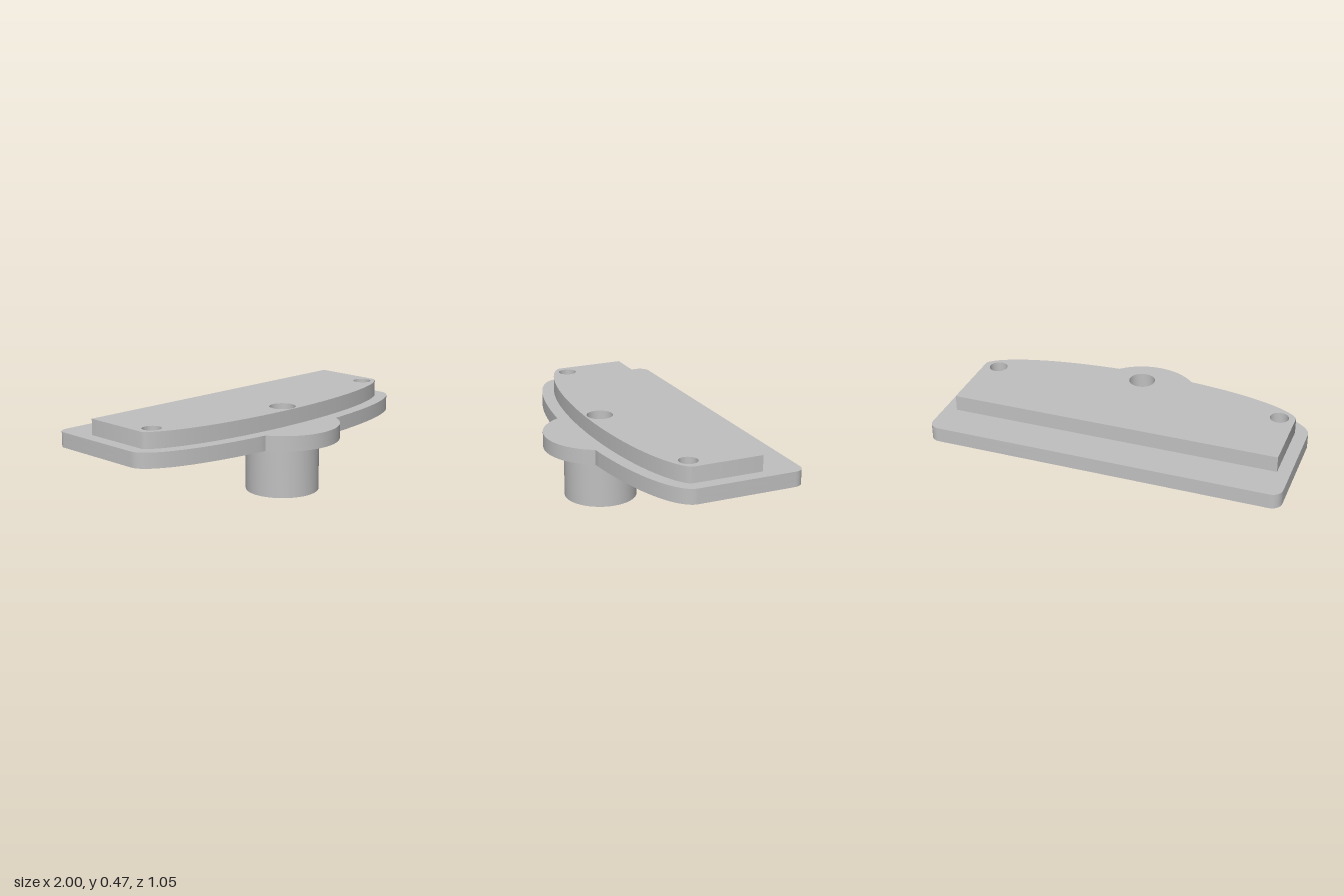
import * as THREE from 'three';
import { toCreasedNormals } from 'three/addons/utils/BufferGeometryUtils.js';

const ARC_Z = 0.09, ARC_DEPTH = 0.27;   // elliptical front edge of the plate
const BOSS_Z = 0.203, BOSS_R = 0.205, BORE_R = 0.074;
const SCREW_X = 0.84, SCREW_Z = 0.07, SCREW_R = 0.052, SINK_R = 0.095;
const BASE_Y = 0.295, SINK_Y = 0.338, STEP_Y = 0.38, TOP_Y = 0.47;

// Front edge, moved inwards by inset, between two angles
function frontArc(inset, from, to, n) {
  const points = [];
  for (let i = 0; i <= n; i++) {
    const t = from + (to - from) * i / n;
    const normal = new THREE.Vector2(Math.cos(t), Math.sin(t) / ARC_DEPTH).normalize();
    points.push(new THREE.Vector2(Math.cos(t) - normal.x * inset,
      ARC_Z + ARC_DEPTH * Math.sin(t) - normal.y * inset));
  }
  return points;
}

function circleArc(x, z, r, from, to, n) {
  return Array.from({ length: n + 1 }, (_, i) => {
    const a = from + (to - from) * i / n;
    return new THREE.Vector2(x + r * Math.cos(a), z + r * Math.sin(a));
  });
}

// Outline in x and z, with round holes given as [x, z, radius]
function slab(outline, holes, bottom, top) {
  const shape = new THREE.Shape(outline);
  for (const [x, z, r] of holes) {
    shape.holes.push(new THREE.Path(circleArc(x, z, r, 0, -Math.PI * 2, 40).slice(0, -1)));
  }
  const geometry = new THREE.ExtrudeGeometry(shape, { depth: top - bottom, bevelEnabled: false });
  geometry.rotateX(Math.PI / 2).translate(0, top, 0);
  return toCreasedNormals(geometry, 0.5);
}

export function createModel() {
  const model = new THREE.Group();
  const grey = new THREE.MeshStandardMaterial({ color: 0xc0c0c0 });
  grey.name = 'grey';
  const sinkGrey = grey;
  const add = (name, geometry, material = grey) => {
    const mesh = new THREE.Mesh(geometry, material);
    mesh.name = name;
    model.add(mesh);
    return mesh;
  };

  const PI = Math.PI;
  const lobe = 0.473, join = Math.acos(0.285);
  const baseOutline = [
    ...frontArc(0, 0, join, 28),
    ...circleArc(0, BOSS_Z, 0.32, lobe, PI - lobe, 32),
    ...frontArc(0, PI - join, PI, 28),
    ...circleArc(-0.94, -0.468, 0.06, PI, PI * 1.5, 8),
    ...circleArc(0.94, -0.468, 0.06, PI * 1.5, PI * 2, 8),
  ];
  const topOutline = [
    ...frontArc(0.072, 0, PI, 72),
    new THREE.Vector2(-0.928, -0.315),
    new THREE.Vector2(0.928, -0.315),
  ];
  const bore = [0, BOSS_Z, BORE_R];
  const screws = (r) => [[-SCREW_X, SCREW_Z, r], [SCREW_X, SCREW_Z, r]];

  // Base plate in two layers, so that the screw holes widen underneath
  add('basePlateLower', slab(baseOutline, [bore, ...screws(SINK_R)], BASE_Y, SINK_Y));
  add('basePlateUpper', slab(baseOutline, [bore, ...screws(SCREW_R)], SINK_Y, STEP_Y));
  add('raisedPlate', slab(topOutline, [bore, ...screws(SCREW_R)], STEP_Y, TOP_Y));

  // Hollow boss below the front lobe
  add('boss', slab(circleArc(0, BOSS_Z, BOSS_R, 0, PI * 2, 64).slice(0, -1), [bore], 0, BASE_Y));

  // Conical countersinks, facing inwards
  for (const side of [-1, 1]) {
    const cone = new THREE.LatheGeometry([
      new THREE.Vector2(SCREW_R, SINK_Y), new THREE.Vector2(SINK_R, BASE_Y)], 40);
    add(side > 0 ? 'leftCountersink' : 'rightCountersink', cone)
      .position.set(side * SCREW_X, 0, SCREW_Z);
  }
  return model;
}
